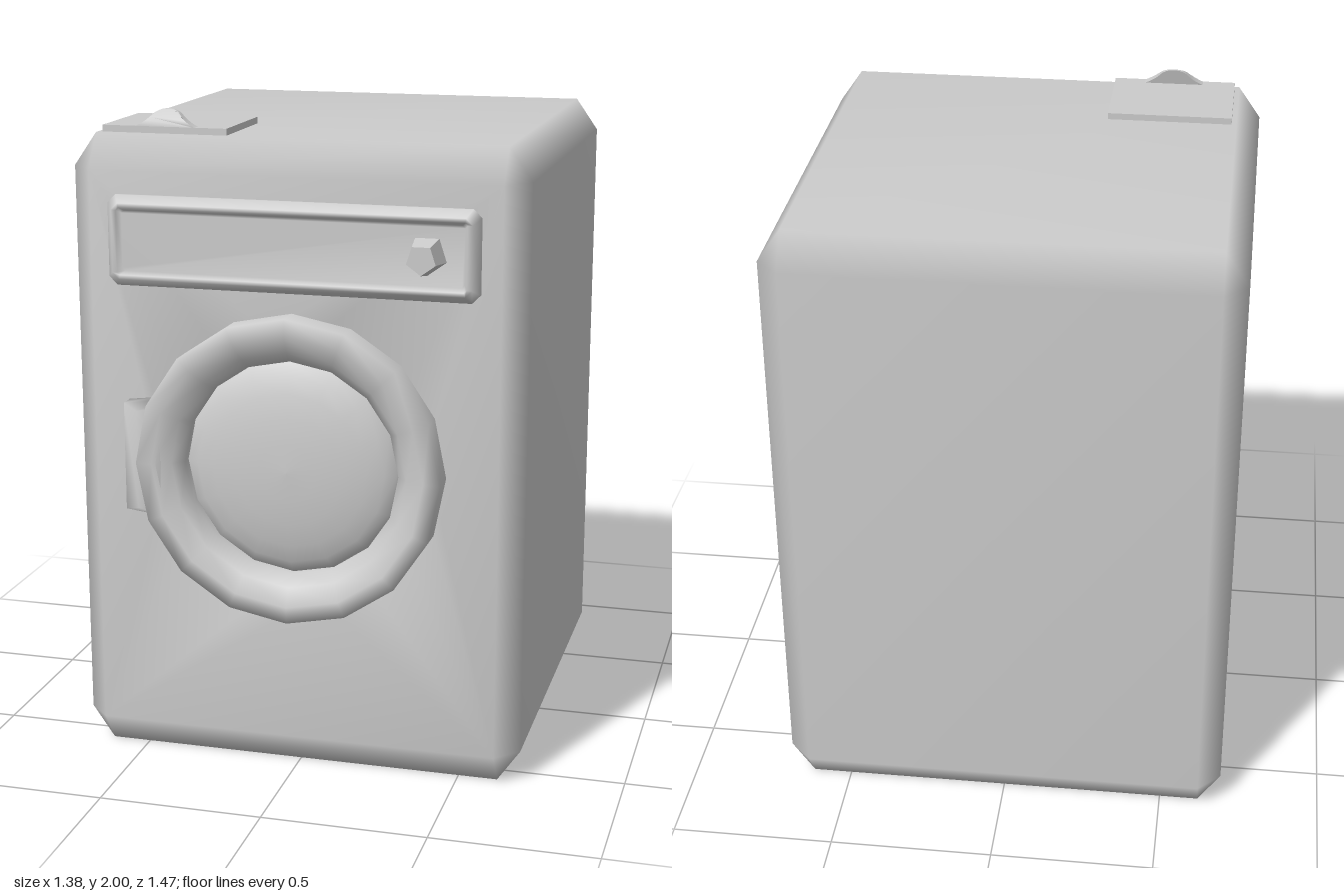
import * as THREE from 'three';
import { mergeVertices, toCreasedNormals } from 'three/addons/utils/BufferGeometryUtils.js';

const material = new THREE.MeshStandardMaterial({ color: 0xcccccc, side: THREE.DoubleSide });
const CY = 0.965; // height of the body and door centre

// Skin a list of equal-length counter-clockwise loops of [x, y, z], stacked towards +z.
function loft(loops, capStart = true, capEnd = true) {
  const n = loops[0].length;
  const index = [];
  for (let k = 0; k < loops.length - 1; k++) {
    for (let i = 0; i < n; i++) {
      const a = k * n + i, b = k * n + (i + 1) % n;
      index.push(a, b, b + n, a, b + n, a + n);
    }
  }
  const last = (loops.length - 1) * n;
  for (let i = 1; i < n - 1; i++) {
    if (capStart) index.push(0, i + 1, i);
    if (capEnd) index.push(last, last + i, last + i + 1);
  }
  const g = new THREE.BufferGeometry();
  g.setAttribute('position', new THREE.Float32BufferAttribute(loops.flat(2), 3));
  g.setIndex(index);
  const merged = mergeVertices(g, 1e-4);
  merged.computeVertexNormals();
  return merged;
}

// Rectangle with cut corners; each corner has 2 * repeat points.
function cutRect(hx, hy, cx, cy, z, repeat = 1, y0 = 0) {
  const pts = [];
  [[1, 1], [-1, 1], [-1, -1], [1, -1]].forEach(([sx, sy]) => {
    const side = [sx * hx, y0 + sy * (hy - cy), z];
    const end = [sx * (hx - cx), y0 + sy * hy, z];
    const pair = sx * sy > 0 ? [side, end] : [end, side];
    pair.forEach((p) => { for (let r = 0; r < repeat; r++) pts.push(p); });
  });
  return pts;
}

function circle(r, z) {
  return Array.from({ length: 16 }, (_, i) => {
    const a = (i + 0.5) * Math.PI / 8;
    return [r * Math.cos(a), CY + r * Math.sin(a), z];
  });
}

// Lathe whose axis points to the front.
function frontLathe(profile, segments) {
  const g = new THREE.LatheGeometry(profile.map(([r, z]) => new THREE.Vector2(r, z)), segments);
  return g.rotateX(Math.PI / 2);
}

export function createModel() {
  const group = new THREE.Group();
  const add = (name, geometry, x = 0, y = 0, z = 0) => {
    const mesh = new THREE.Mesh(geometry, material);
    mesh.name = name;
    mesh.position.set(x, y, z);
    group.add(mesh);
    return mesh;
  };

  // Chamfered cabinet with a round door opening
  add('cabinet', loft([
    cutRect(0.62, 0.865, 0, 0, -0.735, 2, CY),
    cutRect(0.69, 0.965, 0.07, 0.1, -0.665, 2, CY),
    cutRect(0.69, 0.965, 0.07, 0.1, 0.57, 2, CY),
    cutRect(0.62, 0.865, 0, 0, 0.64, 2, CY),
    circle(0.41, 0.64),
    circle(0.41, 0.56),
  ], true, false));

  // Door rim and bulging glass
  add('doorRing', frontLathe([
    [0.465, 0.6], [0.465, 0.722], [0.415, 0.725], [0.36, 0.7], [0.328, 0.665], [0.328, 0.6],
  ], 16), 0, CY);
  const dome = [];
  for (let i = 0; i <= 6; i++) {
    const a = (i / 6) * Math.PI / 2;
    dome.push([0.332 * Math.cos(a), 0.63 + 0.08 * Math.sin(a)]);
  }
  add('doorGlass', frontLathe(dome, 16), 0, CY);

  // Door latch on the rim
  const latch = (xo, ho, hi, z) => [
    [-0.39, CY + hi, z], [xo, CY + ho, z], [xo, CY - ho, z], [-0.39, CY - hi, z],
  ];
  add('doorLatch', loft([
    latch(-0.51, 0.165, 0.18, 0.62),
    latch(-0.51, 0.165, 0.18, 0.69),
    latch(-0.46, 0.15, 0.165, 0.72),
  ]), 0, 0.01);

  // Control panel with a shallow recess
  add('controlPanel', loft([
    cutRect(0.56, 0.135, 0.025, 0.025, 0.62),
    cutRect(0.56, 0.135, 0.025, 0.025, 0.648),
    cutRect(0.54, 0.113, 0.02, 0.02, 0.675),
    cutRect(0.525, 0.1, 0.008, 0.008, 0.675),
    cutRect(0.515, 0.09, 0.008, 0.008, 0.655),
  ]), 0, 1.625);

  // Five-sided tapered knob
  const knob = new THREE.CylinderGeometry(0.045, 0.061, 0.085, 5);
  knob.rotateX(Math.PI / 2).rotateZ(Math.PI);
  knob.rotateZ(0);
  knob.computeBoundingBox();
  // turn so that one corner points down
  if (knob.boundingBox.max.y > -knob.boundingBox.min.y) knob.rotateZ(Math.PI);
  add('knob', toCreasedNormals(knob, 0.6), 0.405, 1.625, 0.6925);

  // Drawer lid on the top
  add('drawerLid', new THREE.BoxGeometry(0.385, 0.04, 0.305), -0.4125, 1.93, 0.4025);

  // Curved finger tab, leaning back with height
  const outline = new THREE.Shape();
  outline.moveTo(-0.1, 0);
  outline.lineTo(0.1, 0);
  outline.quadraticCurveTo(0.065, 0.012, 0.04, 0.04);
  outline.quadraticCurveTo(0.025, 0.053, 0, 0.053);
  outline.quadraticCurveTo(-0.025, 0.053, -0.04, 0.04);
  outline.quadraticCurveTo(-0.065, 0.012, -0.1, 0);
  const tab = new THREE.ExtrudeGeometry(outline, { depth: 1, bevelEnabled: false, curveSegments: 5 });
  const p = tab.attributes.position;
  for (let i = 0; i < p.count; i++) {
    const t = p.getY(i) / 0.053;
    const back = 0.525 - 0.013 * t;
    const front = 0.555 - 0.035 * t * t;
    p.setZ(i, back + (front - back) * p.getZ(i));
  }
  tab.computeVertexNormals();
  add('drawerTab', toCreasedNormals(tab, 0.7), -0.41, 1.947, 0);

  return group;
}
